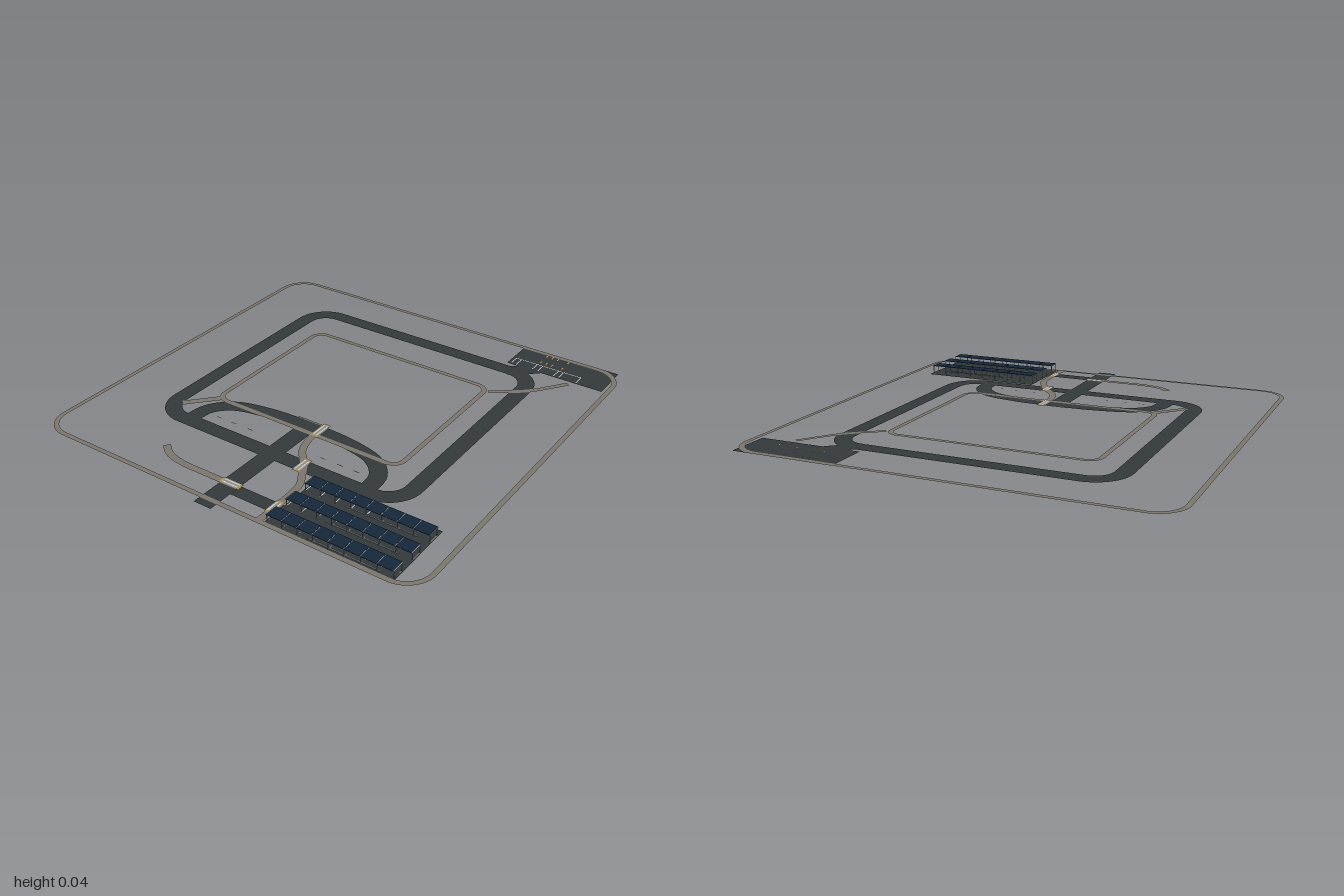
import * as THREE from 'three';

const mat = (color) => new THREE.MeshStandardMaterial({ color, side: THREE.DoubleSide });
const asphalt = mat(0x33383a), paving = mat(0x7b766c), white = mat(0xdddddd);
const yellow = mat(0xb8923a), panelBlue = mat(0x14273a), steel = mat(0x8a8d90), pad = mat(0x908b80);

// Heights of the thin layers
const ROAD = 0.0005, PATH = 0.0018, PAD = 0.003, PAINT = 0.0042;

export function createModel() {
  const site = new THREE.Group();
  site.name = 'sitePlan';

  const add = (name, geometry, material, parent = site) => {
    const mesh = new THREE.Mesh(geometry, material);
    mesh.name = name;
    parent.add(mesh);
    return mesh;
  };

  // Flat rectangle on the ground
  const slab = (name, x0, x1, z0, z1, y, material, parent) => {
    const g = new THREE.PlaneGeometry(x1 - x0, z1 - z0).rotateX(-Math.PI / 2);
    return add(name, g.translate((x0 + x1) / 2, y, (z0 + z1) / 2), material, parent);
  };

  const box = (name, w, h, d, x, y, z, material, parent) =>
    add(name, new THREE.BoxGeometry(w, h, d).translate(x, y, z), material, parent);

  // Rounded rectangular loop of constant width
  const roundedRect = (path, x0, x1, z0, z1, r) => {
    path.moveTo(x0 + r, -z0);
    path.lineTo(x1 - r, -z0);
    path.absarc(x1 - r, -z0 - r, r, Math.PI / 2, 0, true);
    path.lineTo(x1, -z1 + r);
    path.absarc(x1 - r, -z1 + r, r, 0, -Math.PI / 2, true);
    path.lineTo(x0 + r, -z1);
    path.absarc(x0 + r, -z1 + r, r, -Math.PI / 2, -Math.PI, true);
    path.lineTo(x0, -z0 - r);
    path.absarc(x0 + r, -z0 - r, r, Math.PI, Math.PI / 2, true);
    return path;
  };
  const loop = (name, x0, x1, z0, z1, r, w, y, material) => {
    const shape = roundedRect(new THREE.Shape(), x0, x1, z0, z1, r);
    shape.holes.push(roundedRect(new THREE.Path(), x0 + w, x1 - w, z0 + w, z1 - w, r - w));
    add(name, new THREE.ShapeGeometry(shape, 10).rotateX(-Math.PI / 2).translate(0, y, 0), material);
  };

  // Flat strip that follows a smooth curve through [x, z] points
  const ribbon = (name, points, width, y, material, steps = 40) => {
    const curve = new THREE.CatmullRomCurve3(points.map(([x, z]) => new THREE.Vector3(x, y, z)));
    const pos = [], index = [];
    for (let i = 0; i <= steps; i++) {
      const p = curve.getPointAt(i / steps), t = curve.getTangentAt(i / steps);
      const nx = -t.z * width / 2, nz = t.x * width / 2;
      pos.push(p.x + nx, y, p.z + nz, p.x - nx, y, p.z - nz);
      const a = i * 2;
      if (i < steps) index.push(a, a + 2, a + 1, a + 1, a + 2, a + 3);
    }
    const g = new THREE.BufferGeometry();
    g.setAttribute('position', new THREE.Float32BufferAttribute(pos, 3));
    g.setIndex(index);
    g.computeVertexNormals();
    add(name, g, material);
  };

  // Loops: perimeter walk, ring road, inner walk
  loop('perimeterPath', -1, 1, -0.99, 0.95, 0.14, 0.024, PATH, paving);
  loop('ringRoad', -0.69, 0.685, -0.763, 0.568, 0.17, 0.08, ROAD, asphalt);
  loop('innerPath', -0.515, 0.515, -0.52, 0.317, 0.07, 0.025, PATH, paving);

  // Roads
  ribbon('dropOffRoad', [[-0.485, 0.5], [-0.47, 0.405], [-0.39, 0.32], [-0.22, 0.275], [0, 0.265],
    [0.22, 0.275], [0.39, 0.32], [0.47, 0.405], [0.485, 0.5]], 0.08, ROAD + 0.0003, asphalt, 60);
  slab('entranceRoad', -0.045, 0.045, 0.225, 0.985, ROAD + 0.0006, asphalt);
  slab('entranceKerb', -0.085, 0.05, 0.217, 0.226, PATH, paving);
  slab('parkingRoad', 0.045, 0.285, 0.795, 0.862, ROAD, asphalt);
  ribbon('northLotRoad', [[0.49, -0.71], [0.62, -0.81]], 0.08, ROAD + 0.0003, asphalt, 2);

  // Footpaths
  ribbon('westLinkPath', [[-0.605, 0.435], [-0.48, 0.295]], 0.036, PATH, paving, 2);
  ribbon('northLinkPath', [[0.8, -0.76], [0.735, -0.67], [0.67, -0.59], [0.52, -0.475]], 0.026, PATH, paving);
  ribbon('southWestPath', [[-0.42, 0.742], [-0.36, 0.785], [-0.27, 0.806], [-0.15, 0.808], [0.04, 0.806]],
    0.035, PATH, paving);
  ribbon('parkingPath', [[0.064, 0.24], [0.066, 0.34], [0.095, 0.435], [0.155, 0.505], [0.205, 0.585],
    [0.24, 0.65], [0.25, 0.75], [0.25, 0.935]], 0.034, PATH, paving);

  // Crossings: pale pad, two long stripes and tactile ends
  const crossing = (x, z, length, turn) => {
    const g = new THREE.Group();
    g.name = 'crossing';
    const h = length / 2;
    slab('crossingPad', -0.018, 0.018, -h, h, PAD, pad, g);
    for (const s of [-1, 1]) {
      slab('crossingStripe', s * 0.009 - 0.003, s * 0.009 + 0.003, -h + 0.012, h - 0.012, PAINT, white, g);
      slab('tactileStrip', -0.016, 0.016, s * (h - 0.005) - 0.004, s * (h - 0.005) + 0.004, PAINT, yellow, g);
    }
    g.position.set(x, 0, z);
    if (turn) g.rotation.y = Math.PI / 2;
    site.add(g);
  };
  crossing(0.066, 0.26, 0.11, false);
  crossing(0.163, 0.528, 0.1, false);
  crossing(0, 0.803, 0.105, true);
  crossing(0.249, 0.83, 0.09, false);

  // Dashes on the forecourt lawn
  for (const x of [-0.38, -0.295, -0.2, 0.205, 0.295, 0.38])
    slab('forecourtDash', x - 0.014, x + 0.014, 0.433, 0.437, PATH, steel);

  // North car park with bay lines
  slab('northCarPark', 0.46, 0.962, -0.99, -0.785, ROAD + 0.0006, asphalt);
  slab('bayHeadLine', 0.48, 0.83, -0.85, -0.846, PAINT, white);
  for (const x of [0.48, 0.508, 0.595, 0.625, 0.71, 0.738, 0.828])
    slab('bayLine', x - 0.002, x + 0.002, -0.85, -0.79, PAINT, white);
  for (const x of [0.6, 0.63, 0.66, 0.715])
    for (const z of [-0.95, -0.88]) slab('bayMark', x - 0.003, x + 0.003, z - 0.01, z + 0.01, PAINT, yellow);

  // South car park
  slab('southCarPark', 0.275, 0.885, 0.575, 0.938, ROAD + 0.0006, asphalt);

  // Solar canopies: posts, cross beams, rails and panels
  const bays = 8, x0 = 0.285, pitch = 0.0745;
  for (const z of [0.64, 0.769, 0.896]) {
    const canopy = new THREE.Group();
    canopy.name = 'solarCanopy';
    for (let i = 0; i <= bays; i++) {
      const x = x0 + i * pitch;
      for (const s of [-1, 1]) {
        box('canopyPost', 0.003, 0.04, 0.003, x, 0.02, z + s * 0.026, steel, canopy);
        slab('parkingLine', x - 0.002, x + 0.002, z - 0.03, z + 0.03, PAINT, white, canopy);
      }
      box('canopyBeam', 0.004, 0.003, 0.064, x, 0.0405, z, steel, canopy);
      if (i < bays) box('solarPanel', pitch - 0.004, 0.002, 0.066, x + pitch / 2, 0.0425, z, panelBlue, canopy);
    }
    for (const s of [-1, 1])
      box('canopyRail', bays * pitch, 0.002, 0.003, x0 + bays * pitch / 2, 0.04, z + s * 0.026, steel, canopy);
    box('wheelStop', 0.34, 0.002, 0.006, 0.65, 0.005, z + 0.02, steel, canopy);
    site.add(canopy);
  }
  return site;
}
